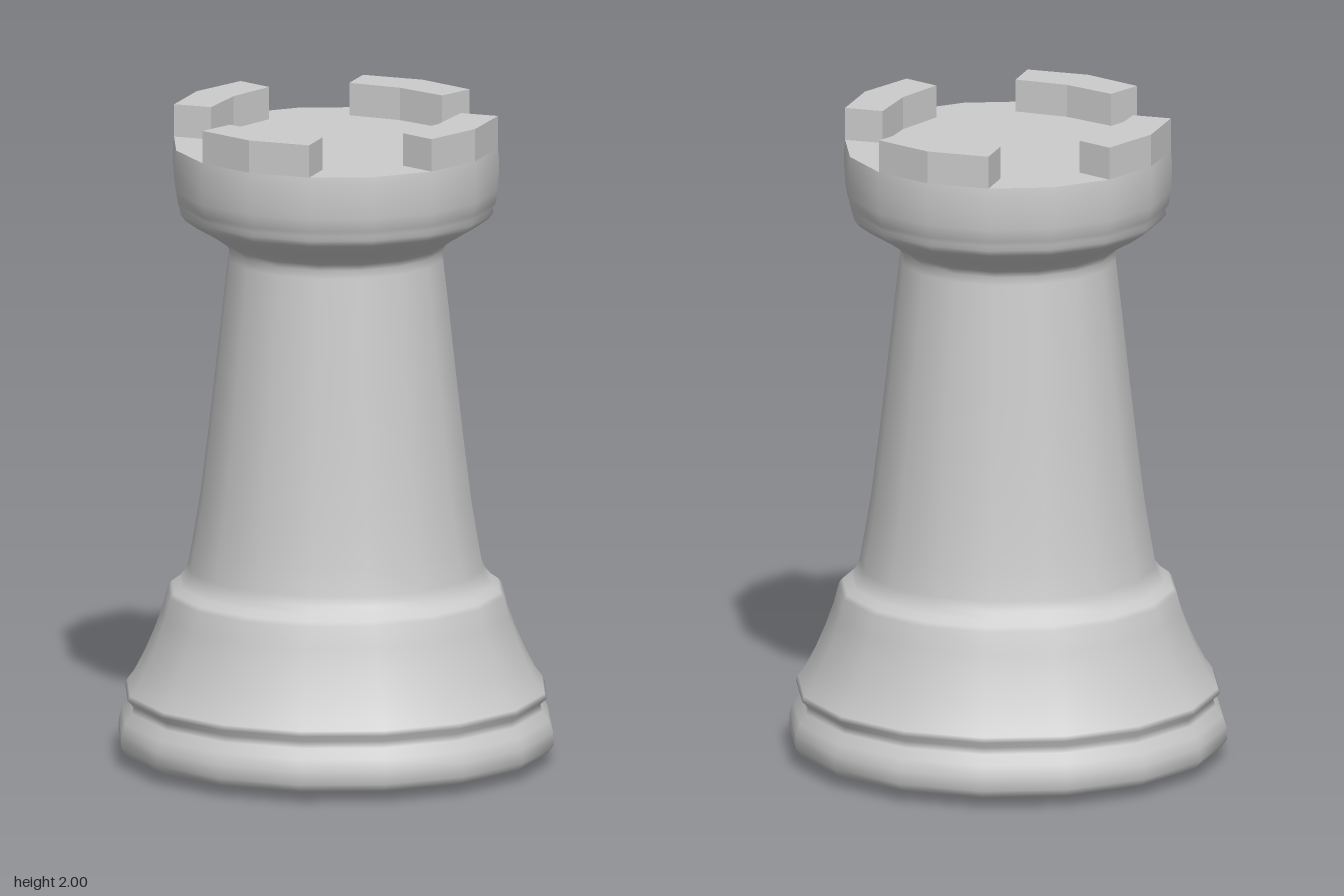
import * as THREE from 'three';

const SIDES = 16;
const TOP_R = 0.495, DECK_Y = 1.9;

// Turned profiles as [radius, height], from the bottom up
const PROFILES = {
  underside: [[0, 0], [0.33, 0.01], [0.62, 0.025]],
  base: [
    [0.62, 0.025], [0.648, 0.037], [0.665, 0.06], [0.664, 0.1], [0.652, 0.135],
    [0.63, 0.165], [0.624, 0.185], [0.645, 0.205], [0.638, 0.22], [0.616, 0.25],
    [0.585, 0.31], [0.555, 0.38], [0.53, 0.45], [0.513, 0.515], [0.502, 0.528],
    [0.478, 0.545], [0.461, 0.565],
  ],
  shaft: [
    [0.461, 0.565], [0.45, 0.595], [0.435, 0.68], [0.415, 0.8], [0.39, 1.0],
    [0.367, 1.2], [0.345, 1.4], [0.328, 1.55], [0.325, 1.575],
  ],
  head: [
    [0.325, 1.575], [0.335, 1.595], [0.37, 1.62], [0.43, 1.655], [0.465, 1.68],
    [0.481, 1.7], [0.475, 1.712], [0.488, 1.73], [0.495, 1.77], [0.498, 1.82],
    [0.498, 1.87], [TOP_R, DECK_Y],
  ],
};

export function createModel() {
  const group = new THREE.Group();
  const material = new THREE.MeshStandardMaterial({ color: 0xcccccc });
  const add = (name, geometry) => {
    const mesh = new THREE.Mesh(geometry, material);
    mesh.name = name;
    group.add(mesh);
    return mesh;
  };
  const turn = (points) =>
    new THREE.LatheGeometry(points.map(([r, y]) => new THREE.Vector2(r, y)), SIDES);

  // Underside, kept separate for a crisp lower edge
  add('underside', turn(PROFILES.underside));

  // Base, shaft and head share one smooth turned surface
  add('body', turn([
    ...PROFILES.base, ...PROFILES.shaft.slice(1), ...PROFILES.head.slice(1),
  ]));

  // Flat deck between the battlements
  const deck = new THREE.CircleGeometry(TOP_R, SIDES);
  deck.rotateX(-Math.PI / 2);
  deck.translate(0, DECK_Y, 0);
  add('deck', deck);

  // Four battlements, each two facets wide
  const cornerX = TOP_R * Math.sin(Math.PI / 8);
  const cornerY = TOP_R * Math.cos(Math.PI / 8);
  const outline = new THREE.Shape([
    [cornerX, cornerY], [0, TOP_R], [-cornerX, cornerY],
    [-0.165, 0.341], [0, 0.364], [0.165, 0.341],
  ].map(([x, y]) => new THREE.Vector2(x, y)));
  const battlement = new THREE.ExtrudeGeometry(outline, {
    depth: 2 - DECK_Y, bevelEnabled: false,
  });
  battlement.rotateX(-Math.PI / 2);
  battlement.translate(0, DECK_Y, 0);
  ['back', 'left', 'front', 'right'].forEach((side, i) => {
    add(side + 'Battlement', battlement).rotation.y = -i * Math.PI / 2;
  });

  return group;
}
